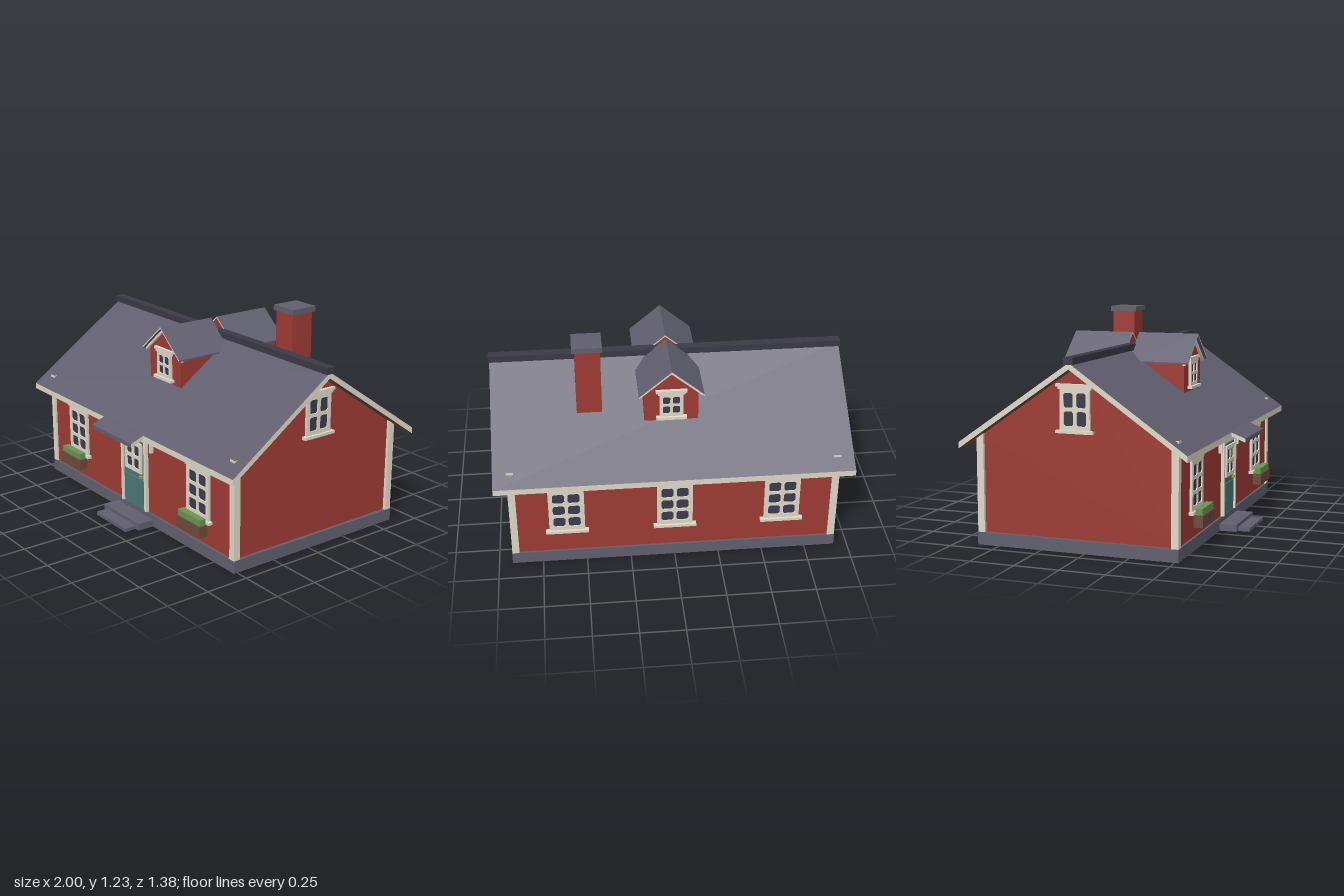
import * as THREE from 'three';

const mat = (name, color, side = THREE.FrontSide) => {
  const m = new THREE.MeshStandardMaterial({ color, side });
  m.name = name;
  return m;
};

export function createModel() {
  const red = mat('wall red', 0x9f3b34), slate = mat('slate', 0x615f6f, THREE.DoubleSide), dark = mat('ridge dark', 0x3b3946);
  const cream = mat('trim cream', 0xe0d9c9), teal = mat('door teal', 0x4c7875), glass = mat('glass', 0x3c3b4c);
  const green = mat('plants green', 0x6a9450), brown = mat('wood brown', 0x6a4c39), brass = mat('brass', 0xb09a50);
  const house = new THREE.Group();
  house.name = 'house';
  const MID = -0.05; // z of the ridge

  const add = (parent, name, geo, material, x = 0, y = 0, z = 0) => {
    const m = new THREE.Mesh(geo, material);
    m.name = name;
    m.position.set(x, y, z);
    parent.add(m);
    return m;
  };
  // box given by its extents
  const box = (parent, name, material, x0, x1, y0, y1, z0, z1) =>
    add(parent, name, new THREE.BoxGeometry(x1 - x0, y1 - y0, z1 - z0), material,
      (x0 + x1) / 2, (y0 + y1) / 2, (z0 + z1) / 2);
  // leave out some faces of a box (2 = top, 3 = bottom)
  const open = (mesh, ...faces) => {
    const g = mesh.geometry, index = Array.from(g.index.array);
    g.setIndex(index.filter((_, i) => !faces.includes(Math.floor(i / 6))));
    g.clearGroups();
  };
  const group = (parent, name, x = 0, y = 0, z = 0, ry = 0) => {
    const g = new THREE.Group();
    g.name = name;
    g.position.set(x, y, z);
    g.rotation.y = ry;
    parent.add(g);
    return g;
  };
  const extrude = (pts, depth) => new THREE.ExtrudeGeometry(
    new THREE.Shape(pts.map(p => new THREE.Vector2(...p))), { depth, bevelEnabled: false });

  // sloping slab running from (z0, y0) down to (z1, y1), with plumb-cut ends
  const slope = (parent, name, x0, x1, z0, y0, z1, y1, t, mats) => {
    const g = new THREE.BoxGeometry(x1 - x0, t, z1 - z0);
    const p = g.attributes.position;
    for (let i = 0; i < p.count; i++) {
      const k = p.getZ(i) / (z1 - z0) + 0.5;
      p.setY(i, p.getY(i) - t / 2 + y0 + (y1 - y0) * k);
    }
    g.computeVertexNormals();
    return add(parent, name, g, mats, (x0 + x1) / 2, 0, (z0 + z1) / 2);
  };

  // frame with chamfered pane openings, and the glass behind it
  const sash = (parent, w, h, cols, rows, border, bar) => {
    const s = new THREE.Shape([[-w, -h], [w, -h], [w, h], [-w, h]].map(([a, b]) => new THREE.Vector2(a / 2, b / 2)));
    const pw = (w - 2 * border - (cols - 1) * bar) / cols;
    const ph = (h - 2 * border - (rows - 1) * bar) / rows;
    const c = Math.min(pw, ph) * 0.16;
    for (let i = 0; i < cols; i++) for (let j = 0; j < rows; j++) {
      const x = -w / 2 + border + i * (pw + bar), y = -h / 2 + border + j * (ph + bar), X = x + pw, Y = y + ph;
      s.holes.push(new THREE.Path([[x + c, y], [x, y + c], [x, Y - c], [x + c, Y], [X - c, Y], [X, Y - c],
        [X, y + c], [X - c, y]].map(q => new THREE.Vector2(...q))));
    }
    add(parent, 'windowFrame', new THREE.ExtrudeGeometry(s, { depth: 0.014, bevelEnabled: false }), cream);
    box(parent, 'windowGlass', glass, -w / 2 + 0.005, w / 2 - 0.005, -h / 2 + 0.005, h / 2 - 0.005, 0, 0.008);
  };
  const windowUnit = (parent, x, y, z, ry, w, h, rows, border, bar) => {
    const g = group(parent, 'window', x, y, z, ry);
    sash(g, w, h, 2, rows, border, bar);
    box(g, 'windowHeader', cream, -w / 2 - 0.01, w / 2 + 0.01, h / 2 - 0.004, h / 2 + 0.012, 0, 0.016);
    box(g, 'windowCornice', cream, -w / 2 - 0.022, w / 2 + 0.022, h / 2 + 0.01, h / 2 + 0.025, 0, 0.02);
    box(g, 'windowSill', cream, -w / 2 - 0.02, w / 2 + 0.02, -h / 2 - 0.016, -h / 2, 0, 0.028);
  };

  // hollow plinth, walls with gables, corner boards
  open(box(house, 'plinth', slate, -0.924, 0.924, 0, 0.07, -0.622, 0.522), 3);
  const walls = add(house, 'walls', extrude([[-0.56, 0.071], [0.56, 0.071], [0.56, 0.605], [0, 0.985], [-0.56, 0.605]], 1.81),
    red, -0.905, 0, MID);
  walls.rotation.y = Math.PI / 2;
  for (const sx of [-1, 1]) for (const sz of [-1, 1])
    open(add(house, 'cornerBoard', new THREE.BoxGeometry(0.04, 0.563, 0.04), cream,
      sx * 0.902, 0.3515, MID + sz * 0.551), 2, 3);

  // main roof and ridge cap
  const roofMats = [cream, cream, slate, brown, cream, cream];
  for (const ry of [0, Math.PI])
    slope(group(house, 'roofSide', 0, 0, MID, ry), 'roofSlab', -0.995, 0.995, 0, 1.014, 0.64, 0.57, 0.034, roofMats);
  box(house, 'ridgeCap', dark, -1, 1, 1.005, 1.042, MID - 0.027, MID + 0.027);

  // front and back dormers
  for (const ry of [0, Math.PI]) {
    const d = group(house, 'dormer', 0, 0, MID, ry);
    add(d, 'dormerWalls', extrude([[-0.15, 0.72], [0.15, 0.72], [0.15, 0.966], [0, 1.093], [-0.15, 0.966]], 0.32),
      red, 0, 0, 0.025);
    const trim = [cream, cream, slate, slate, slate, slate];
    for (const s of [-1, 1]) {
      const side = group(d, 'dormerRoofSide', 0, 0, 0, s * Math.PI / 2);
      const [a, b] = s > 0 ? [-0.38, -0.02] : [0.02, 0.38];
      slope(side, 'dormerRoofSlab', a, b, 0, 1.102, 0.18, 0.95, 0.009, trim);
      const [c, e] = s > 0 ? [-0.36, -0.344] : [0.344, 0.36];
      slope(side, 'dormerBargeboard', c, e, 0, 1.094, 0.172, 0.949, 0.018, cream);
    }
    windowUnit(d, 0, 0.877, 0.345, 0, 0.13, 0.142, 2, 0.018, 0.014);
  }

  // chimney
  box(house, 'chimney', red, 0.38, 0.52, 0.75, 1.2, -0.34, -0.2);
  box(house, 'chimneyCap', slate, 0.37, 0.535, 1.2, 1.23, -0.353, -0.188);

  // wall windows
  for (const x of [-0.605, 0, 0.605]) windowUnit(house, x, 0.356, -0.61, Math.PI, 0.2, 0.27, 3, 0.024, 0.018);
  for (const x of [-0.605, 0.605]) {
    windowUnit(house, x, 0.356, 0.51, 0, 0.2, 0.27, 3, 0.024, 0.018);
    box(house, 'flowerBox', brown, x - 0.108, x + 0.108, 0.14, 0.205, 0.535, 0.587);
    box(house, 'flowerBoxPlants', green, x - 0.098, x + 0.098, 0.205, 0.24, 0.541, 0.581);
  }
  for (const s of [-1, 1]) windowUnit(house, s * 0.905, 0.763, MID, s * Math.PI / 2, 0.17, 0.218, 2, 0.022, 0.02);

  // door with casing, glazed upper part and raised lower panel
  const door = group(house, 'door', 0, 0, 0.51);
  box(door, 'doorLeaf', teal, -0.108, 0.108, 0.07, 0.49, 0, 0.01);
  for (const s of [-1, 1])
    add(door, 'doorCasing', new THREE.BoxGeometry(0.02, 0.43, 0.02), cream, s * 0.116, 0.285, 0.01);
  box(door, 'doorLintel', cream, -0.13, 0.13, 0.488, 0.51, 0, 0.02);
  box(door, 'doorCornice', cream, -0.18, 0.18, 0.51, 0.532, 0, 0.022);
  sash(group(door, 'doorWindow', 0, 0.378, 0.008), 0.165, 0.18, 2, 2, 0.022, 0.02);
  box(door, 'doorPanel', teal, -0.085, 0.085, 0.1, 0.25, 0.01, 0.016);
  box(door, 'doorHandle', brass, 0.066, 0.088, 0.262, 0.274, 0.01, 0.024);

  // canopy on brackets
  slope(house, 'canopy', -0.2, 0.2, 0.51, 0.603, 0.672, 0.54, 0.022, [cream, cream, slate, cream, slate, slate]);
  for (const s of [-1, 1])
    add(house, 'canopyBracket', new THREE.BoxGeometry(0.016, 0.11, 0.02), cream, s * 0.172, 0.5, 0.52);

  // hollow entrance steps
  open(box(house, 'upperStep', slate, -0.18, 0.18, 0, 0.04, 0.522, 0.62), 3);
  open(box(house, 'lowerStep', slate, -0.15, 0.15, 0, 0.02, 0.62, 0.69), 3);
  return house;
}
